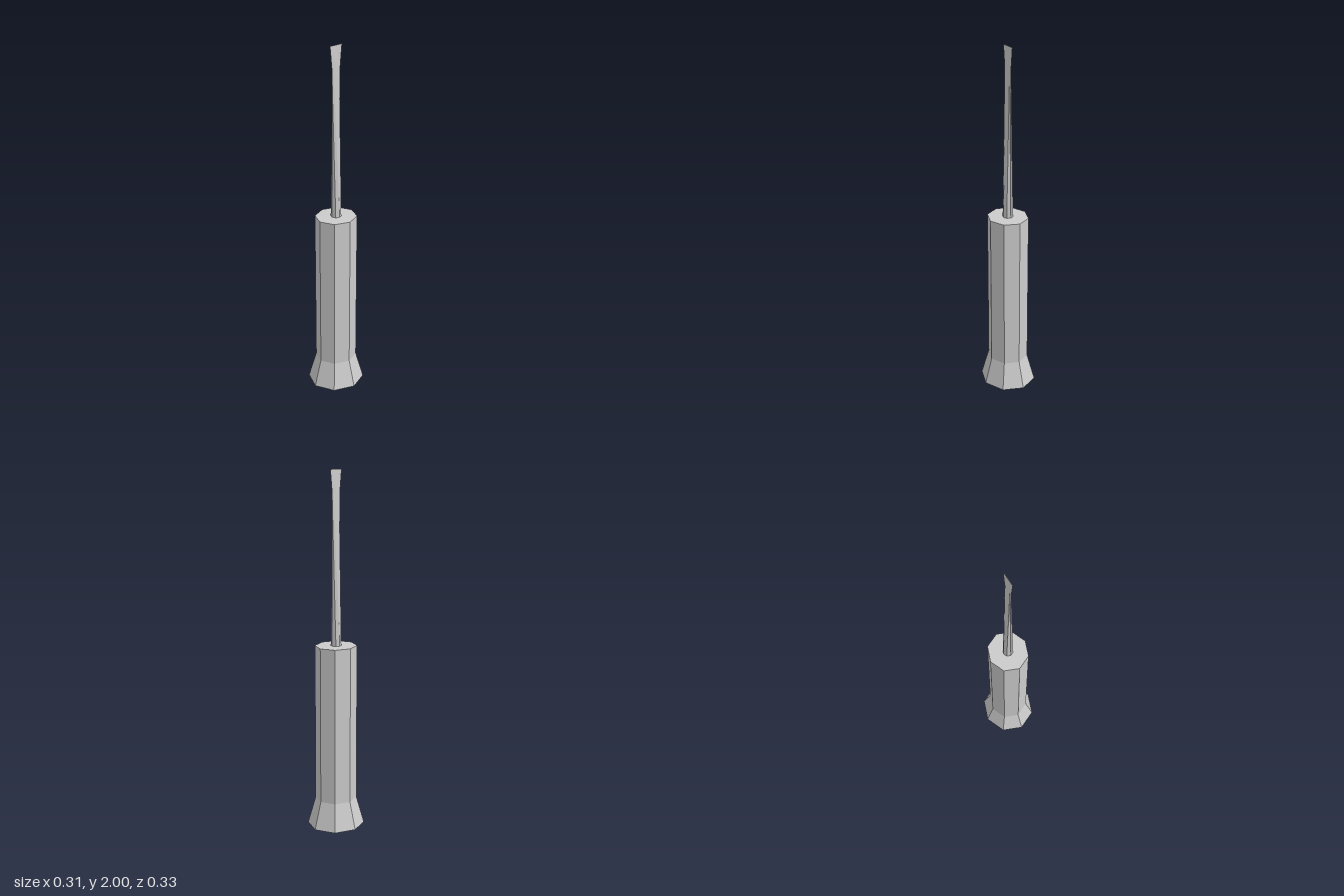
import * as THREE from 'three';

const SIDES = 8;

// Eight-sided turned solid; widthAt(y) narrows or widens it along x.
function turned(name, profile, widthAt) {
  const points = profile.map(([r, y]) => new THREE.Vector2(r, y));
  const geometry = new THREE.LatheGeometry(points, SIDES);
  const pos = geometry.attributes.position;
  for (let i = 0; i < pos.count; i++) {
    pos.setX(i, pos.getX(i) * widthAt(pos.getY(i)));
  }
  geometry.computeVertexNormals();
  const material = new THREE.MeshStandardMaterial({ color: 0xcccccc, flatShading: true });
  const mesh = new THREE.Mesh(geometry, material);
  mesh.name = name;
  return mesh;
}

export function createModel() {
  const group = new THREE.Group();
  group.name = 'screwdriver';

  // Handle with a flared butt, slightly narrower in x than in z
  const handle = turned('handle',
    [[0, 0], [0.164, 0], [0.119, 0.155], [0.119, 1.045], [0, 1.045]],
    () => 0.95);

  // Shaft tapers in x to a thin edge, while the blade spreads in z
  const base = 1.045, tip = 2;
  const radiusAt = (y) => (y <= 1.88 ? 0.029 : THREE.MathUtils.mapLinear(y, 1.88, tip, 0.029, 0.041));
  const halfWidthAt = (y) => THREE.MathUtils.mapLinear(y, base, tip, 0.029, 0.0008);
  const shaft = turned('shaftAndBlade',
    [[0.029, base], [0.029, 1.88], [0.041, tip], [0, tip]],
    (y) => halfWidthAt(y) / radiusAt(y));

  group.add(handle, shaft);
  return group;
}
